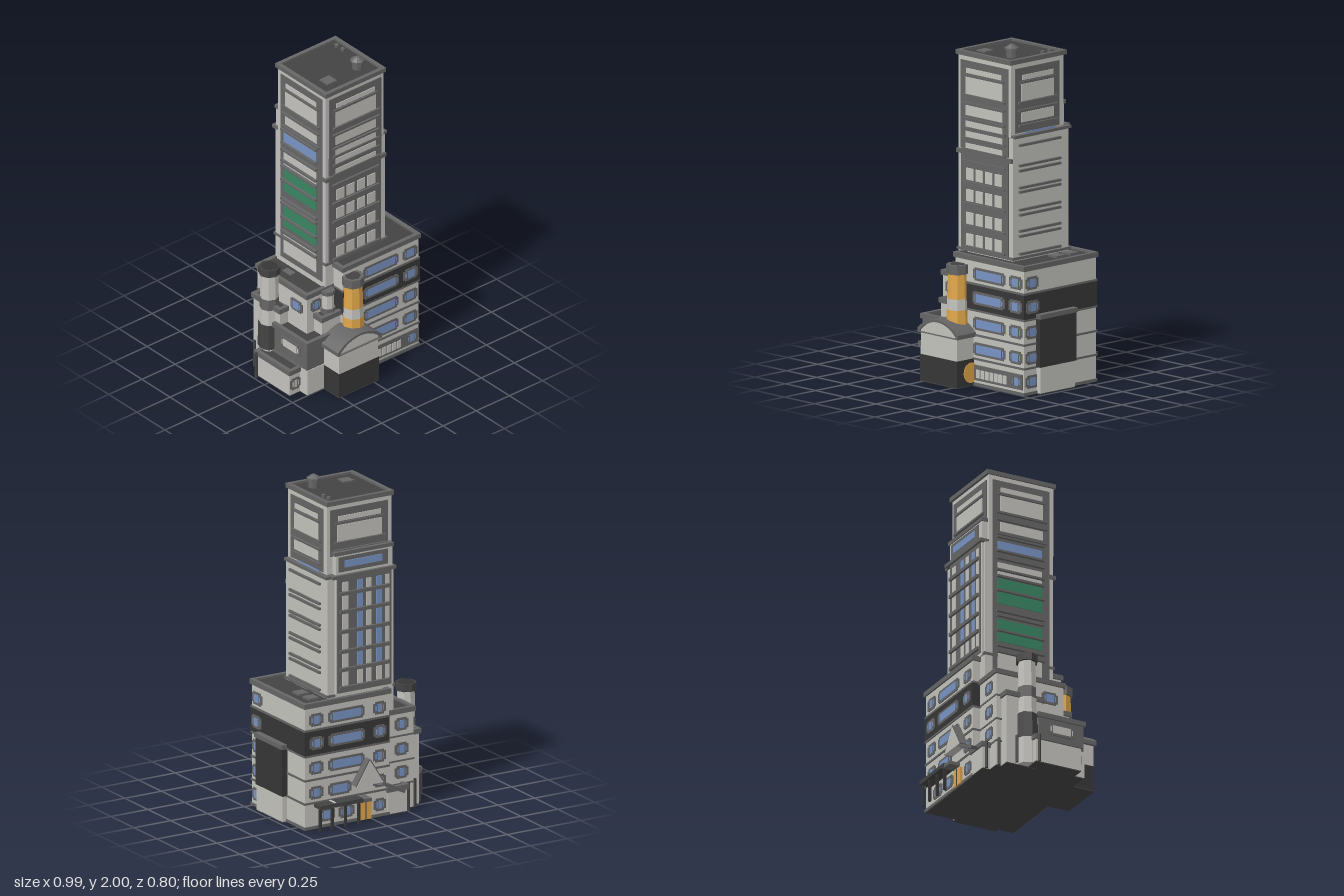
import * as THREE from 'three';

export function createModel() {
  const root = new THREE.Group();
  root.name = 'towerBuilding';
  const mat = (name, color) => Object.assign(new THREE.MeshStandardMaterial({ color }), { name });
  const light = mat('pale concrete', 0xc2c1bc), mid = mat('grey trim', 0x656565), dark = mat('roof grey', 0x434343);
  const black = mat('charcoal cladding', 0x363636), blue = mat('window blue', 0x7894c4), orange = mat('orange paint', 0xe0a64a);
  const green = mat('green glass', 0x388462);

  const add = (name, geo, m) => {
    const mesh = new THREE.Mesh(geo, m);
    mesh.name = name;
    root.add(mesh);
    return mesh;
  };
  const box = (name, m, x0, x1, y0, y1, z0, z1) => {
    const b = add(name, new THREE.BoxGeometry(x1 - x0, y1 - y0, z1 - z0), m);
    b.position.set((x0 + x1) / 2, (y0 + y1) / 2, (z0 + z1) / 2);
    return b;
  };
  // Plate standing d proud of a wall: side is 'x' or 'z', s its direction, at its position
  const plate = (name, m, [side, s, at], u0, u1, y0, y1, d) => {
    const a = Math.min(at - s * 0.003, at + s * d), b = Math.max(at - s * 0.003, at + s * d);
    return side === 'z' ? box(name, m, u0, u1, y0, y1, a, b) : box(name, m, a, b, y0, y1, u0, u1);
  };
  // Parapet ring with a sunken roof
  const parapet = (name, x0, x1, y0, y1, z0, z1, w = 0.025) => {
    box(name + 'Roof', dark, x0 + w / 2, x1 - w / 2, y0, y1 - 0.012, z0 + w / 2, z1 - w / 2);
    box(name + 'Parapet', mid, x0, x1, y0, y1, z1 - w, z1);
    box(name + 'Parapet', mid, x0, x1, y0, y1, z0, z0 + w);
    box(name + 'Parapet', mid, x0, x0 + w, y0, y1, z0 + w, z1 - w);
    box(name + 'Parapet', mid, x1 - w, x1, y0, y1, z0 + w, z1 - w);
  };
  const footing = (x0, x1, z0, z1) => box('footing', dark, x0, x1, 0, 0.006, z0, z1);
  const block = (name, m, x0, x1, h, z0, z1) => {
    const i = 0.01;
    footing(x0 + i, x1 - i, z0 + i, z1 - i);
    box(name + 'Body', m, x0 + i, x1 - i, 0.006, h - 0.028, z0 + i, z1 - i);
    parapet(name, x0, x1, h - 0.03, h, z0, z1);
  };
  // Window with notched corners on the surround and the glass
  const windowAt = (wall, u0, u1, y, glass = blue) => {
    plate('windowSurround', mid, wall, u0 - 0.013, u1 + 0.013, y - 0.027, y + 0.027, 0.004);
    plate('windowSurround', mid, wall, u0, u1, y - 0.038, y + 0.038, 0.005);
    plate('windowGlass', glass, wall, u0 + 0.002, u1 - 0.002, y - 0.015, y + 0.015, 0.0065);
    plate('windowGlass', glass, wall, u0 + 0.013, u1 - 0.013, y - 0.024, y + 0.024, 0.007);
    for (const u of [u0 + 0.013, u1 - 0.013]) plate('windowMullion', mid, wall, u - 0.002, u + 0.002, y - 0.024, y + 0.024, 0.009);
  };

  // Main base storeys
  footing(-0.12, 0.45, -0.325, 0.25);
  box('baseLower', light, -0.12, 0.45, 0.006, 0.44, -0.325, 0.25);
  box('baseDarkStorey', black, -0.122, 0.455, 0.44, 0.6, -0.33, 0.255);
  box('baseUpper', light, -0.12, 0.45, 0.6, 0.737, -0.325, 0.25);
  for (const y of [0.16, 0.3, 0.445, 0.6]) box('storeyBand', mid, -0.123, 0.456, y - 0.006, y + 0.006, -0.331, 0.256);
  box('plinth', mid, -0.123, 0.456, 0.003, 0.02, -0.331, 0.256);
  parapet('base', -0.13, 0.46, 0.735, 0.765, -0.335, 0.26);
  for (const z of [-0.22, -0.11]) box('roofHatch', mid, 0.31, 0.38, 0.75, 0.765, z - 0.035, z + 0.035);
  for (const y of [0.22, 0.37, 0.52, 0.66]) {
    const p = y === 0.52 ? 0.005 : 0;
    const front = ['z', 1, 0.25 + p], back = ['z', -1, -0.325 - p];
    windowAt(front, 0.043, 0.283, y);
    windowAt(front, 0.342, 0.425, y);
    windowAt(['x', 1, 0.45 + p], 0.15, 0.228, y);
    windowAt(back, 0.34, 0.41, y);
    windowAt(back, y > 0.3 ? 0.06 : 0.15, 0.28, y);
    windowAt(back, -0.085, -0.025, y);
  }
  // Ground floor shopfront
  plate('shopFrame', mid, ['z', 1, 0.25], 0.04, 0.44, 0.035, 0.125, 0.006);
  for (let i = 0; i < 7; i++) plate('shopPane', light, ['z', 1, 0.25], 0.06 + i * 0.037, 0.09 + i * 0.037, 0.05, 0.1, 0.009);
  windowAt(['z', 1, 0.253], 0.36, 0.425, 0.08);
  windowAt(['x', 1, 0.45], 0.15, 0.228, 0.08);

  // Side annex
  footing(0.44, 0.48, -0.13, 0.15);
  box('annexLower', light, 0.44, 0.48, 0.006, 0.16, -0.13, 0.15);
  box('annexUpper', black, 0.44, 0.485, 0.16, 0.45, -0.135, 0.155);
  box('annexCap', mid, 0.44, 0.492, 0.445, 0.472, -0.14, 0.16);

  // Tower shaft and crown
  box('towerShaft', light, -0.18, 0.27, 0.55, 1.48, -0.28, 0.165);
  box('towerCrown', light, -0.18, 0.255, 1.48, 1.912, -0.255, 0.168);
  parapet('tower', -0.19, 0.265, 1.908, 1.935, -0.27, 0.18);
  box('shaftCap', mid, 0.22, 0.285, 1.475, 1.492, -0.288, 0.165);
  box('towerLedge', mid, -0.188, 0.268, 1.33, 1.355, 0.13, 0.18);
  box('towerFoot', mid, -0.186, 0.28, 0.76, 0.775, -0.288, 0.175);

  // Upper bays with panels and sills on front, right, left and back
  const crown = (wall, u0, u1, y0) => {
    plate('crownFrame', mid, wall, u0, u1, y0, 1.88, 0.005);
    plate('crownPanel', light, wall, u0 + 0.045, u1 - 0.045, 1.685, 1.785, 0.009);
    plate('crownPanel', light, wall, u0 + 0.05, u1 - 0.05, 1.808, 1.838, 0.009);
    plate('crownLintel', mid, wall, u0 + 0.03, u1 - 0.03, 1.788, 1.802, 0.014);
    plate('crownSill', mid, wall, u0 + 0.02, u1 - 0.02, 1.67, 1.683, 0.018);
    plate('crownPanel', light, wall, u0 + 0.045, u1 - 0.045, 1.56, 1.618, 0.009);
    plate('crownSill', mid, wall, u0 + 0.02, u1 - 0.02, 1.625, 1.637, 0.018);
    plate('crownSill', mid, wall, u0 + 0.02, u1 - 0.02, 1.535, 1.547, 0.018);
  };
  const F = ['z', 1, 0.168], R = ['x', 1, 0.255], L = ['x', -1, -0.18], B = ['z', -1, -0.255];
  crown(F, -0.155, 0.235, 1.36);
  crown(R, -0.215, 0.135, 1.5);
  crown(L, -0.23, 0.14, 1.36);
  crown(B, -0.155, 0.235, 1.6);
  plate('crownWindow', blue, R, -0.18, 0.06, 1.49, 1.502, 0.008);

  // Front bay: panels above the ledge, rows of four panes below
  plate('frontFrame', mid, F, -0.155, 0.235, 0.775, 1.34, 0.004);
  for (const y of [1.5, 1.44, 1.37]) plate('frontPanel', light, F, -0.11, 0.19, y - 0.008, y + 0.026, 0.009);
  for (const y of [1.485, 1.425, 1.36, 1.29, 1.165, 1.04, 0.91, 0.785]) plate('frontSill', mid, F, -0.135, 0.215, y - 0.006, y + 0.006, 0.016);
  for (const y of [0.83, 0.955, 1.09, 1.215])
    for (let i = 0; i < 4; i++) plate('frontPane', light, F, -0.105 + i * 0.078, -0.047 + i * 0.078, y - 0.035, y + 0.035, 0.009);

  // Right side fins
  for (const y of [1.43, 1.31, 1.28, 1.18, 1.155, 1.05, 1.02, 0.925, 0.895, 0.79]) plate('sideFin', mid, ['x', 1, 0.27], -0.21, 0.12, y - 0.007, y + 0.007, 0.014);

  // Left bay with blue and green glazing
  plate('leftFrame', mid, L, -0.23, 0.14, 0.64, 1.37, 0.005);
  for (const [y0, y1, m] of [[1.435, 1.495, blue], [1.28, 1.36, light], [1.1, 1.26, green], [0.86, 1.0, green], [0.68, 0.8, light]])
    plate('leftGlazing', m, L, -0.2, 0.09, y0, y1, 0.008);
  for (const y of [1.52, 1.43, 1.385, 1.31, 1.27, 1.18, 1.05, 1.02, 0.925, 0.83, 0.79]) plate('leftSill', mid, L, -0.21, 0.1, y - 0.006, y + 0.006, 0.024);

  // Back bay: wide window over a grid of panes
  box('backBay', light, -0.165, 0.22, 0.76, 1.62, -0.292, -0.25);
  box('backBayCap', mid, -0.17, 0.23, 1.61, 1.632, -0.298, -0.25);
  const BB = ['z', -1, -0.292];
  plate('backWindowFrame', mid, BB, -0.13, 0.2, 1.51, 1.6, 0.005);
  plate('backWindow', blue, BB, -0.09, 0.165, 1.535, 1.577, 0.009);
  plate('backGrid', mid, BB, -0.155, 0.21, 0.78, 1.48, 0.005);
  box('backLedge', mid, -0.18, 0.25, 1.475, 1.495, -0.312, -0.25);
  const rows = [1.46, 1.38, 1.27, 1.15, 1.03, 0.92, 0.81];
  for (const y of rows.slice(1)) plate('backSill', mid, BB, -0.14, 0.2, y - 0.01, y + 0.01, 0.02);
  for (let r = 0; r < 6; r++)
    for (const [u, m, w] of [[0.16, light, 0.02], [0.06, r < 5 ? blue : light, 0.019], [0.0, light, 0.017], [-0.07, r < 5 ? blue : light, 0.019], [-0.125, light, 0.015]])
      plate('backPane', m, BB, u - w, u + w, rows[r + 1] + 0.012, rows[r] - 0.012, 0.008);

  // Roof fittings
  const cyl = (name, m, x, z, y0, y1, r0, r1 = r0, n = 8) => {
    const g = new THREE.CylinderGeometry(r1, r0, y1 - y0, n).toNonIndexed();
    g.computeVertexNormals();
    add(name, g, m).position.set(x, (y0 + y1) / 2, z);
  };
  box('towerHatch', mid, -0.105, -0.035, 1.92, 1.932, 0.025, 0.095);
  cyl('ventPipe', mid, 0.15, 0.06, 1.92, 1.97, 0.032);
  cyl('ventCapRim', mid, 0.15, 0.06, 1.968, 1.98, 0.042);
  cyl('ventCap', mid, 0.15, 0.06, 1.98, 2.0, 0.042, 0.012);
  for (const z of [-0.19, -0.135]) cyl('roofPipe', mid, 0.205, z, 1.92, 1.94, 0.013);

  // Stepped blocks on the left
  block('leftTall', light, -0.325, -0.1, 0.615, -0.29, 0.17);
  block('leftRear', light, -0.25, -0.1, 0.17, -0.34, -0.1);
  block('leftMid', light, -0.27, -0.05, 0.47, -0.1, 0.24);
  block('leftLow', mid, -0.4, -0.12, 0.36, -0.05, 0.26);
  block('leftAnnex', light, -0.48, -0.37, 0.175, -0.115, 0.2);
  block('leftBack', light, -0.385, -0.2, 0.46, -0.255, 0.0);
  box('lowWall', light, -0.392, -0.14, 0.006, 0.17, -0.04, 0.255);
  box('leftHatch', mid, -0.245, -0.205, 0.59, 0.61, -0.14, -0.07);
  windowAt(['z', 1, 0.16], -0.275, -0.22, 0.52);
  for (const y of [0.23, 0.37, 0.52]) {
    box('leftStoreyBand', mid, -0.319, -0.12, y - 0.076, y - 0.066, -0.284, 0.0);
    windowAt(['z', -1, -0.28], -0.265, -0.2, y);
  }
  windowAt(['x', -1, -0.315], 0.03, 0.11, 0.5);
  windowAt(['x', -1, -0.39], 0.03, 0.18, 0.27, light);
  windowAt(['z', 1, 0.19], -0.455, -0.405, 0.075, light);
  for (const [x, z] of [[-0.26, -0.315], [-0.33, -0.27], [-0.41, -0.195], [-0.485, -0.09]]) cyl('cornerPost', dark, x, z, 0, 0.17, 0.009);

  // Chimneys, as stacked bands
  const chimney = (name, x, z, bands) => bands.forEach(([m, y0, y1, r0, r1]) => cyl(name, m, x, z, y0, y1, r0, r1));
  chimney('orangeChimney', -0.07, 0.28, [[mid, 0.3, 0.355, 0.07, 0.07], [orange, 0.355, 0.44, 0.066, 0.063], [light, 0.44, 0.505, 0.063, 0.06],
    [orange, 0.505, 0.65, 0.06, 0.055], [mid, 0.65, 0.705, 0.066, 0.066], [dark, 0.7, 0.707, 0.045, 0.045]]);
  chimney('greyChimney', -0.37, -0.11, [[light, 0.006, 0.17, 0.07, 0.07], [dark, 0.17, 0.33, 0.068, 0.064], [light, 0.33, 0.43, 0.06, 0.057],
    [mid, 0.43, 0.5, 0.057, 0.055], [light, 0.5, 0.66, 0.055, 0.052], [dark, 0.66, 0.705, 0.064, 0.064], [black, 0.7, 0.707, 0.05, 0.05]]);
  chimney('smallChimney', -0.175, 0.18, [[mid, 0.45, 0.49, 0.045, 0.045], [light, 0.49, 0.58, 0.038, 0.035], [mid, 0.58, 0.605, 0.042, 0.042]]);

  // Front hall with a barrel roof
  const arch = (hw, spring, rise, base) => {
    const R0 = (hw * hw + rise * rise) / (2 * rise), a = Math.asin(hw / R0), s = new THREE.Shape();
    s.moveTo(-hw, base);
    s.lineTo(hw, base);
    s.absarc(0, spring + rise - R0, R0, Math.PI / 2 - a, Math.PI / 2 + a, false);
    s.closePath();
    return s;
  };
  const extrude = (name, shape, m, x, z0, z1) => {
    const g = new THREE.ExtrudeGeometry(shape, { depth: z1 - z0, bevelEnabled: false, curveSegments: 14 });
    add(name, g, m).position.set(x, 0, z0);
  };
  footing(-0.267, 0.037, 0.1, 0.388);
  box('hallLower', black, -0.267, 0.037, 0.006, 0.16, 0.1, 0.388);
  extrude('hallUpper', arch(0.147, 0.305, 0.064, 0.16), light, -0.115, 0.1, 0.385);
  extrude('barrelRoof', arch(0.165, 0.315, 0.068, 0.29), mid, -0.115, 0.15, 0.376);
  const rim = new THREE.Shape(arch(0.165, 0.315, 0.068, 0.29).getPoints(14));
  rim.holes.push(new THREE.Path(arch(0.147, 0.305, 0.064, 0.295).getPoints(14)));
  extrude('roofRim', rim, mid, -0.115, 0.37, 0.397);
  // Round orange side door
  const door = add('roundDoor', new THREE.CylinderGeometry(0.06, 0.06, 0.009, 20), orange);
  door.rotation.z = Math.PI / 2;
  door.position.set(0.036, 0.08, 0.275);

  // Rear entrance: gabled porch, door, sloping roof and awning on posts
  box('rearDoor', orange, 0.01, 0.085, 0.006, 0.11, -0.342, -0.32);
  plate('rearDoorSplit', dark, ['z', -1, -0.342], 0.045, 0.05, 0.006, 0.11, 0.003);
  extrude('porchGable', new THREE.Shape([[-0.09, 0.225], [0.09, 0.225], [0, 0.37]].map(([x, y]) => new THREE.Vector2(x, y))), light, 0.04, -0.378, -0.32);
  for (const s of [-1, 1]) {
    const slope = box('porchRoof', mid, -0.087, 0.087, -0.005, 0.005, -0.028, 0.028);
    slope.position.set(0.04 + s * 0.047, 0.299, -0.348);
    slope.rotation.z = -s * 1.015;
  }
  const lean = box('leanRoof', mid, -0.085, 0.085, -0.01, 0.01, -0.03, 0.03);
  lean.position.set(-0.12, 0.18, -0.35);
  lean.rotation.z = 0.45;
  box('awning', dark, 0.1, 0.39, 0.135, 0.158, -0.4, -0.32);
  box('awningStrip', light, 0.28, 0.292, 0.156, 0.162, -0.392, -0.33);
  box('awningWing', mid, 0.04, 0.12, 0.13, 0.15, -0.395, -0.32);
  for (const x of [0.12, 0.21, 0.3, 0.38]) box('awningPost', black, x - 0.007, x + 0.007, 0, 0.14, -0.388, -0.374);
  for (const x of [0.17, 0.3]) windowAt(['z', -1, -0.325], x - 0.04, x + 0.04, 0.075);
  windowAt(['z', -1, -0.325], -0.085, -0.03, 0.075);
  return root;
}
